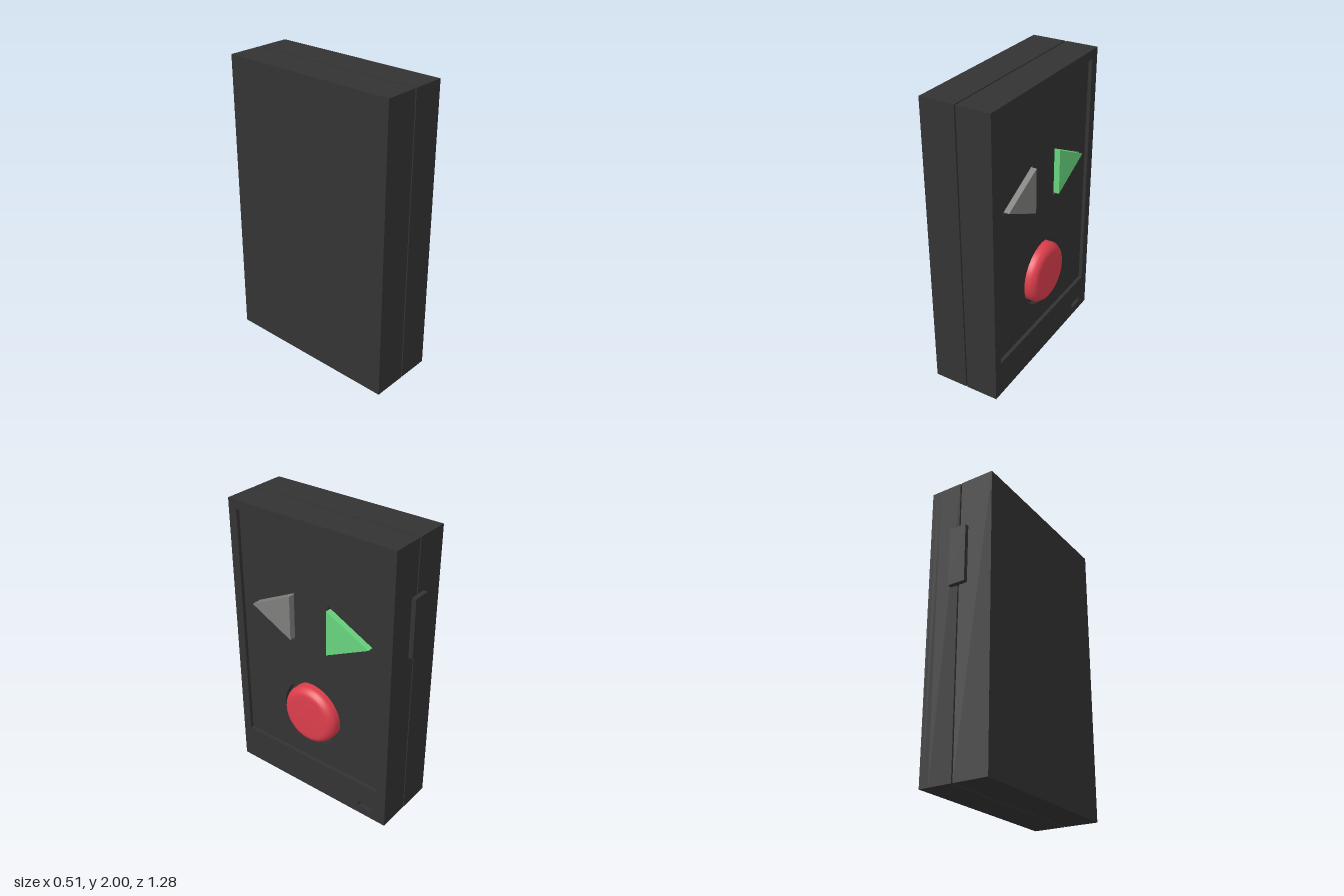
import * as THREE from 'three';

const material = (color) => new THREE.MeshStandardMaterial({ color });
const dark = material(0x333333);
const red = material(0xdc3e4b);
const green = material(0x68d47e);
const grey = material(0x7e7e7c);

const BTN = { u: -0.015, y: 0.63 };   // round button centre

// Closed outline from [u, y] corners, where u = -z
function outline(points, Type = THREE.Shape) {
  return new Type(points.map(([u, y]) => new THREE.Vector2(u, y)));
}
const rect = (u0, u1, y0, y1) => [[u0, y0], [u1, y0], [u1, y1], [u0, y1]];
const triangle = (base, tip, half) => [[base, 1.315 - half], [tip, 1.315], [base, 1.315 + half]];

export function createModel() {
  const model = new THREE.Group();
  const add = (name, geometry, mat) => {
    const mesh = new THREE.Mesh(geometry, mat);
    mesh.name = name;
    model.add(mesh);
    return mesh;
  };
  const box = (name, [x0, x1], [y0, y1], [z0, z1]) => {
    add(name, new THREE.BoxGeometry(x1 - x0, y1 - y0, z1 - z0), dark)
      .position.set((x0 + x1) / 2, (y0 + y1) / 2, (z0 + z1) / 2);
  };
  // Plate in the side plane, extruded along x from x0 to x1
  const plate = (name, points, x0, x1, mat, holes = []) => {
    const shape = outline(points);
    shape.holes.push(...holes);
    const geometry = new THREE.ExtrudeGeometry(shape, { depth: x1 - x0, bevelEnabled: false, curveSegments: 48 });
    geometry.rotateY(Math.PI / 2).translate(x0, 0, 0);
    return add(name, geometry, mat);
  };
  const hole = (points) => outline(points, THREE.Path);

  // Two case halves around a thin inset seam
  box('leftCaseHalf', [-0.01, 0.15], [0, 2], [-0.61, 0.64]);
  box('rightCaseHalf', [-0.255, -0.02], [0, 2], [-0.61, 0.64]);
  box('seamCore', [-0.03, 0], [0.045, 1.97], [-0.585, 0.615]);

  // Face plate with button wells, and a raised bezel around it
  const face = rect(-0.64, 0.61, 0, 2);
  const well = new THREE.Path();
  well.absarc(BTN.u, BTN.y, 0.232, 0, Math.PI * 2);
  plate('facePlate', face, 0.15, 0.19, dark, [
    well,
    hole(triangle(-0.15, -0.5, 0.175)),
    hole(triangle(0.115, 0.465, 0.175)),
  ]);
  plate('bezel', face, 0.19, 0.215, dark, [
    hole(rect(-0.578, 0.542, 0.255, 1.938)),
    hole(rect(0.395, 0.505, 0.06, 0.1)),
  ]);

  // Arrow buttons
  plate('backArrowButton', triangle(-0.162, -0.478, 0.156), 0.14, 0.222, grey);
  plate('forwardArrowButton', triangle(0.13, 0.446, 0.156), 0.14, 0.222, green);

  // Round domed button
  const profile = [[0.208, 0.14], [0.208, 0.2], [0.205, 0.212], [0.198, 0.224],
    [0.186, 0.238], [0.17, 0.247], [0.15, 0.25], [0, 0.252]];
  const dome = new THREE.LatheGeometry(profile.map(([r, h]) => new THREE.Vector2(r, h)), 48);
  dome.rotateZ(-Math.PI / 2);
  add('roundButton', dome, red).position.set(0, BTN.y, -BTN.u);

  // Catch across the seam at the back
  box('rearCatch', [-0.08, 0.04], [1.24, 1.645], [-0.64, -0.6]);

  return model;
}
